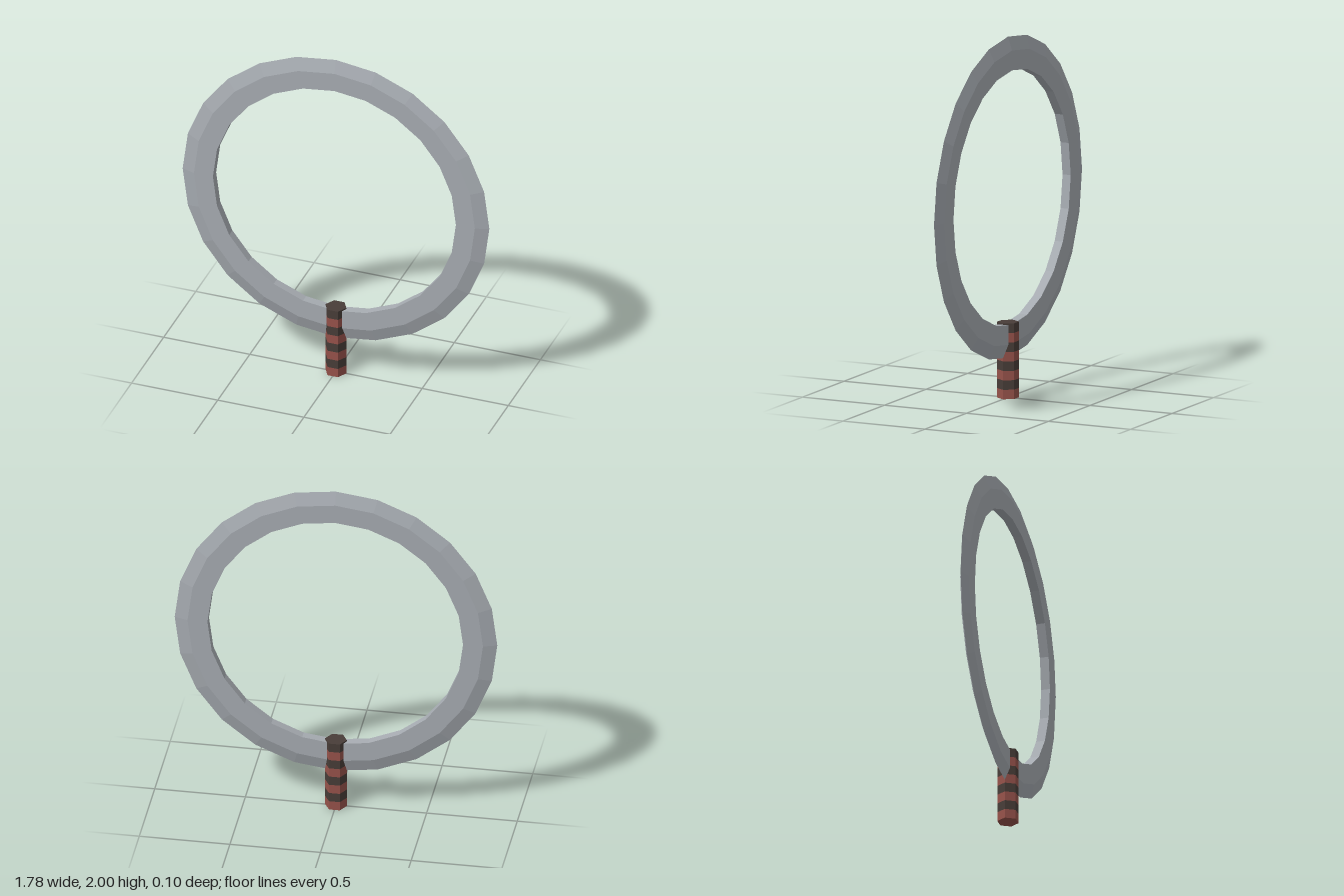
import * as THREE from 'three';

const material = (name, color) => {
  const m = new THREE.MeshStandardMaterial({ color, flatShading: true });
  m.name = name;
  return m;
};

export function createModel() {
  const model = new THREE.Group();
  model.name = 'ringBlade';
  const steel = material('steel', 0xa6abb1);
  const redWrap = material('redWrap', 0x96524a);
  const darkWrap = material('darkWrap', 0x483d38);

  const add = (parent, name, geometry, mat) => {
    const mesh = new THREE.Mesh(geometry, mat);
    mesh.name = name;
    parent.add(mesh);
    return mesh;
  };

  // Circular blade: flat sides, bevelled to a sharp outer edge
  const half = 0.025;
  const profile = [
    [0.705, -half], [0.815, -half], [0.89, 0],
    [0.815, half], [0.705, half], [0.705, -half],
  ].map(([r, y]) => new THREE.Vector2(r, y));
  const blade = add(model, 'blade', new THREE.LatheGeometry(profile, 24).rotateX(Math.PI / 2), steel);
  blade.position.y = 1.11;

  // Hexagonal grip wrapped in alternating bands
  const grip = new THREE.Group();
  grip.name = 'grip';
  model.add(grip);
  const radius = 0.06, bands = 8, height = 0.42, step = height / bands;
  for (let i = 0; i < bands; i++) {
    const band = new THREE.CylinderGeometry(radius, radius, step, 6, 1, true)
      .rotateY(Math.PI / 2).translate(0, (i + 0.5) * step, 0);
    add(grip, 'gripBand', band, i % 2 ? darkWrap : redWrap);
  }

  // Grip ends
  const end = () => new THREE.CircleGeometry(radius, 6);
  add(grip, 'gripTop', end().rotateX(-Math.PI / 2).translate(0, height, 0), darkWrap);
  add(grip, 'gripBottom', end().rotateX(Math.PI / 2), redWrap);

  return model;
}
